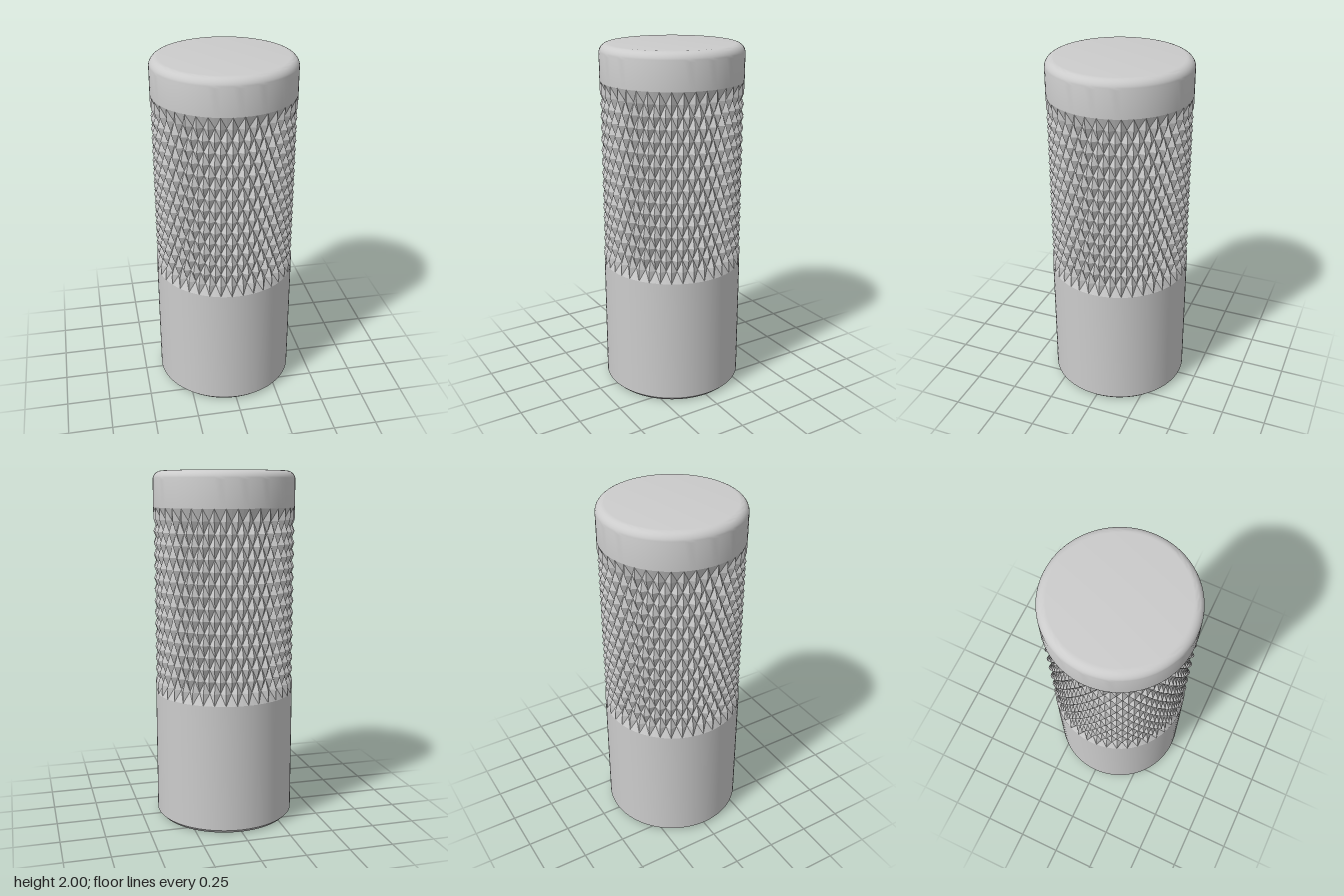
import * as THREE from 'three';
import { toCreasedNormals } from 'three/addons/utils/BufferGeometryUtils.js';

const R = 0.4;             // grip radius
const COLS = 80;           // two steps per knurl diamond
const ROWS = 16;           // half-diamond rows
const Y0 = 0.74, Y1 = 1.8; // knurled band
const DEPTH = 0.025;       // groove depth

function lathe(name, points, material) {
  const geo = new THREE.LatheGeometry(points.map(([x, y]) => new THREE.Vector2(x, y)), COLS);
  const mesh = new THREE.Mesh(toCreasedNormals(geo, Math.PI / 7), material);
  mesh.name = name;
  return mesh;
}

// Staggered pyramids: peaks and valleys alternate on a grid, both end rings run out flush
function knurlGeometry() {
  const point = (c, r) => {
    const isPeak = (c + r) % 2 === 0 || r === 0 || r === ROWS;
    const radius = isPeak ? R : R - DEPTH;
    const a = ((c + COLS) % COLS) / COLS * Math.PI * 2;
    return [radius * Math.sin(a), Y0 + (Y1 - Y0) * r / ROWS, radius * Math.cos(a)];
  };
  const positions = [];
  const tri = (...corners) => corners.forEach(([c, r]) => positions.push(...point(c, r)));
  for (let r = 0; r < ROWS; r++) {
    for (let c = 0; c < COLS; c++) {
      const a = [c, r], b = [c + 1, r], d = [c + 1, r + 1], e = [c, r + 1];
      // split each cell along its groove, from valley to valley
      if ((c + r) % 2 === 0) tri(a, b, e), tri(b, d, e);
      else tri(a, b, d), tri(a, d, e);
    }
  }
  const geo = new THREE.BufferGeometry();
  geo.setAttribute('position', new THREE.Float32BufferAttribute(positions, 3));
  geo.computeVertexNormals();
  return geo;
}

export function createModel() {
  const group = new THREE.Group();
  group.name = 'knurledHandle';
  const smooth = new THREE.MeshStandardMaterial({ color: 0xcccccc });
  const faceted = new THREE.MeshStandardMaterial({ color: 0xcccccc, flatShading: true });

  // Plain lower grip with stepped bore and bottom chamfer
  group.add(lathe('lowerBody', [
    [0, 0.6], [0.108, 0.6], [0.108, 0.08], [0.17, 0.08], [0.17, 0],
    [0.38, 0], [R, 0.02], [R, Y0],
  ], smooth));

  // Knurled band
  const knurl = new THREE.Mesh(knurlGeometry(), faceted);
  knurl.name = 'knurledGrip';
  group.add(knurl);

  // Rounded cap
  const cap = [[R, Y1]];
  const fillet = 0.05, steps = 8;
  for (let i = 0; i <= steps; i++) {
    const a = i / steps * Math.PI / 2;
    cap.push([R - fillet + fillet * Math.cos(a), 2 - fillet + fillet * Math.sin(a)]);
  }
  cap.push([0, 2]);
  group.add(lathe('topCap', cap, smooth));

  return group;
}
